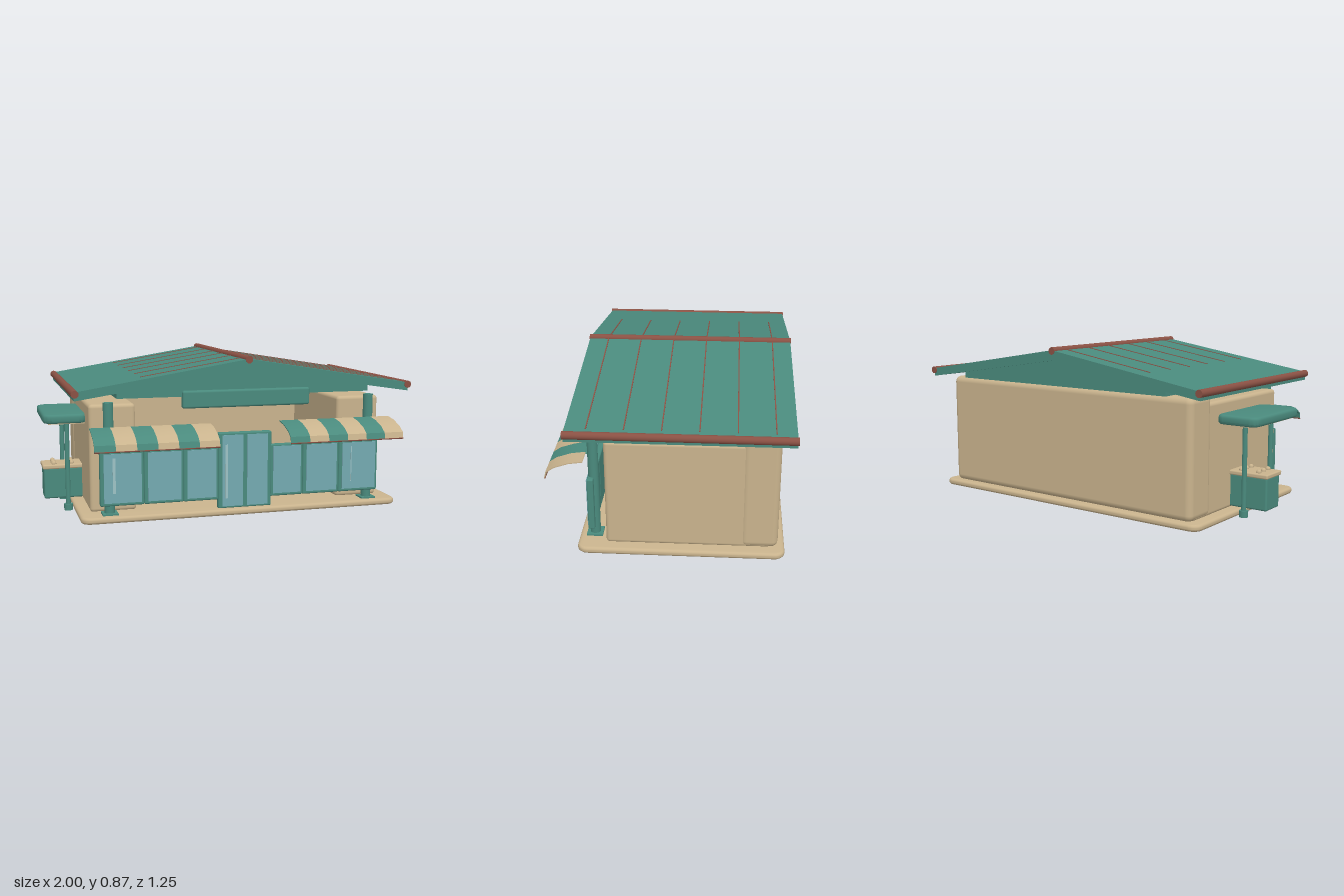
import * as THREE from 'three';
import { toCreasedNormals } from 'three/addons/utils/BufferGeometryUtils.js';
import { RoundedBoxGeometry } from 'three/addons/geometries/RoundedBoxGeometry.js';

const mat = (name, color) => {
  const m = new THREE.MeshStandardMaterial({ color });
  m.name = name;
  return m;
};

export function createModel() {
  const model = new THREE.Group();
  model.name = 'shopPavilion';
  const teal = mat('teal', 0x4a8a7d);
  const tan = mat('sand', 0xc9b38d);
  const brown = mat('brown', 0x8a5144);
  const glass = mat('glass', 0x74a9b1);
  const shine = mat('paleGlass', 0x9cc2c4);

  const add = (name, geo, material, parent = model) => {
    const mesh = new THREE.Mesh(geo, material);
    mesh.name = name;
    parent.add(mesh);
    return mesh;
  };
  const group = (name) => {
    const g = new THREE.Group();
    g.name = name;
    model.add(g);
    return g;
  };
  // box given by its limits, with optional rounding
  const box = (name, x0, x1, y0, y1, z0, z1, material, r = 0, parent = model) => {
    const s = [x1 - x0, y1 - y0, z1 - z0];
    const geo = r ? new RoundedBoxGeometry(...s, 3, r) : new THREE.BoxGeometry(...s);
    geo.translate((x0 + x1) / 2, (y0 + y1) / 2, (z0 + z1) / 2);
    return add(name, geo, material, parent);
  };
  const extrudeZ = (points, z0, z1) => {
    const shape = new THREE.Shape(points.map(p => new THREE.Vector2(...p)));
    return new THREE.ExtrudeGeometry(shape, { depth: z1 - z0, bevelEnabled: false }).translate(0, 0, z0);
  };
  // flat slab with rounded plan corners and a soft edge
  const slab = (name, x0, x1, y0, y1, z0, z1, r, b, material, parent = model) => {
    const X = (x1 - x0) / 2 - b, Z = (z1 - z0) / 2 - b;
    const s = new THREE.Shape();
    s.absarc(X - r, Z - r, r, 0, Math.PI / 2);
    s.absarc(r - X, Z - r, r, Math.PI / 2, Math.PI);
    s.absarc(r - X, r - Z, r, Math.PI, Math.PI * 1.5);
    s.absarc(X - r, r - Z, r, Math.PI * 1.5, Math.PI * 2);
    const geo = new THREE.ExtrudeGeometry(s, {
      depth: y1 - y0 - 2 * b, bevelSize: b, bevelThickness: b, bevelSegments: 3, curveSegments: 6,
    });
    geo.rotateX(-Math.PI / 2).translate((x0 + x1) / 2, y0 + b, (z0 + z1) / 2);
    return add(name, toCreasedNormals(geo, 0.7), material, parent);
  };
  const post = (name, x, z, y0, y1, r, material, parent = model) =>
    add(name, new THREE.CylinderGeometry(r, r, y1 - y0, 20).translate(x, (y0 + y1) / 2, z), material, parent);
  const rodZ = (name, x, y, r, z0, z1, material, parent) =>
    add(name, new THREE.CylinderGeometry(r, r, z1 - z0, 16).rotateX(Math.PI / 2).translate(x, y, (z0 + z1) / 2), material, parent);
  const rodX = (name, x0, x1, y, z, r, material, parent) =>
    add(name, new THREE.CylinderGeometry(r, r, x1 - x0, 10).rotateZ(Math.PI / 2).translate((x0 + x1) / 2, y, z), material, parent);

  // Floor and walls, open at the front
  slab('floorSlab', -0.84, 0.95, 0, 0.035, -0.59, 0.47, 0.04, 0.015, tan);
  box('backWall', -0.78, 0.89, 0.03, 0.655, -0.555, -0.36, tan, 0.035);
  box('rightSideWall', -0.775, -0.525, 0.03, 0.612, -0.52, 0.325, tan, 0.02);
  box('leftSideWall', 0.635, 0.885, 0.03, 0.612, -0.52, 0.325, tan, 0.02);

  // Gable roof
  const roof = group('roof');
  const ridge = 0.055;
  add('roofPanels', extrudeZ([[-0.87, 0.655], [ridge, 0.795], [0.98, 0.655], [0.98, 0.7], [ridge, 0.85], [-0.87, 0.7]], -0.62, 0.5), teal, roof);
  add('gableInfill', extrudeZ([[-0.645, 0.655], [0.76, 0.655], [0.76, 0.69], [ridge, 0.797], [-0.645, 0.69]], -0.58, 0.45), teal, roof);
  rodZ('ridgeRod', ridge, 0.846, 0.02, -0.622, 0.503, brown, roof);
  for (const x of [-0.865, 0.979]) rodZ('eaveRod', x, 0.69, 0.02, -0.625, 0.505, brown, roof);

  // Roof seams following both slopes
  const slope = Math.atan2(0.15, 0.925);
  for (let i = 0; i < 6; i++) {
    const z = -0.52 + i * 0.183;
    for (const [side, run] of [[-1, 0.565], [1, 0.885]]) {
      const geo = new THREE.BoxGeometry(run / Math.cos(slope), 0.006, 0.006);
      geo.rotateZ(-side * slope);
      geo.translate(ridge + side * run / 2, 0.85 - Math.tan(slope) * run / 2, z);
      add('roofSeam', geo, brown, roof);
    }
  }

  // Blank hanging board under the gable
  box('frontBoard', -0.3, 0.41, 0.593, 0.687, 0.427, 0.472, teal, 0.012);

  // Front posts with feet
  for (const x of [-0.682, 0.792]) {
    post('frontPost', x, 0.392, 0.03, 0.63, 0.027, teal);
    box('postFoot', x - 0.042, x + 0.042, 0.033, 0.043, 0.35, 0.434, teal);
  }

  // Shop windows: three panes either side of the door
  const windows = group('shopWindows');
  const panes = [[-0.735, -0.5], [-0.5, -0.285], [-0.285, -0.09], [0.2, 0.395], [0.395, 0.61], [0.61, 0.845]];
  for (const [x0, x1] of panes) {
    box('windowFrame', x0, x1, 0.082, 0.373, 0.388, 0.422, teal, 0.008, windows);
    box('windowPane', x0 + 0.02, x1 - 0.014, 0.098, 0.362, 0.418, 0.426, glass, 0, windows);
  }

  // Double door
  const door = group('doubleDoor');
  box('doorFrame', -0.095, 0.207, 0.033, 0.45, 0.395, 0.432, teal, 0.008, door);
  for (const x of [-0.073, 0.067]) box('doorLeaf', x, x + 0.117, 0.045, 0.437, 0.428, 0.436, glass, 0, door);

  // Reflections
  box('windowShine', -0.668, -0.653, 0.15, 0.34, 0.425, 0.428, shine);
  box('doorShine', -0.058, -0.042, 0.09, 0.385, 0.435, 0.438, shine);
  box('windowShine', 0.68, 0.685, 0.14, 0.34, 0.425, 0.428, shine);

  // Striped awnings: a thin curved profile repeated along x
  const curve = [[0.43, 0.505], [0.5, 0.495], [0.575, 0.47], [0.614, 0.443], [0.622, 0.41]];
  const under = curve.map(([z, y]) => [z - 0.004, y - 0.004]).reverse();
  for (const start of [-0.788, 0.25]) {
    const awning = group('awning');
    const w = 0.65 / 6;
    for (let i = 0; i < 6; i++) {
      const geo = extrudeZ([...curve, ...under], 0, w);
      geo.rotateY(-Math.PI / 2).translate(start + (i + 1) * w, 0, 0);
      add('awningStripe', toCreasedNormals(geo, 0.7), i % 2 ? tan : teal, awning);
    }
    rodX('awningRail', start, start + 0.65, 0.409, 0.619, 0.004, brown, awning);
    const bx = start + 0.325;
    box('awningBracket', bx - 0.028, bx + 0.028, 0.39, 0.4, 0.43, 0.527, teal, 0.004, awning);
  }

  // Side stand with canopy, posts and counter
  const stand = group('sideStand');
  slab('standCanopy', -1, -0.76, 0.495, 0.545, -0.305, 0.18, 0.035, 0.015, teal, stand);
  box('canopyLining', -0.97, -0.77, 0.488, 0.496, -0.27, 0.145, tan, 0, stand);
  for (const z of [-0.18, 0.1]) {
    post('standPost', -0.868, z, 0.01, 0.5, 0.013, teal, stand);
    post('standPostFoot', -0.868, z, 0, 0.035, 0.024, teal, stand);
  }
  box('counter', -0.988, -0.765, 0.04, 0.215, -0.16, -0.02, teal, 0.01, stand);
  box('counterTop', -0.995, -0.765, 0.21, 0.235, -0.17, -0.01, tan, 0.008, stand);
  for (const x of [-0.93, -0.83]) {
    for (const z of [-0.14, -0.09, -0.04]) {
      add('counterGoods', new THREE.SphereGeometry(0.014, 12, 8).translate(x, 0.238, z), tan, stand);
    }
  }
  return model;
}
